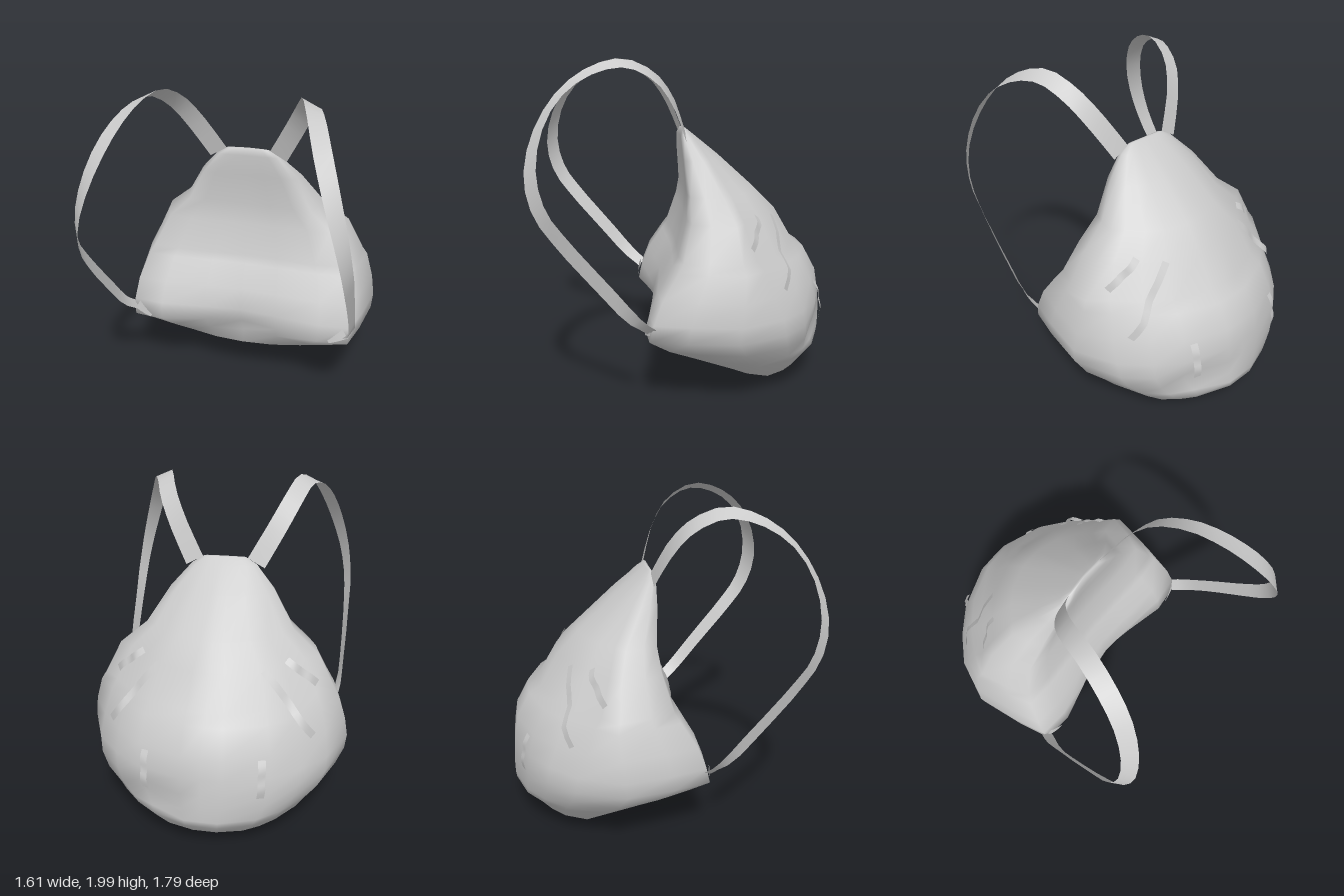
import * as THREE from 'three';

const V = (a) => new THREE.Vector3(...a);
const material = new THREE.MeshStandardMaterial({ color: 0xcccccc, side: THREE.DoubleSide });

// Bag levels from top to bottom: y, half width, front z, back z,
// roundness of the front corners, dip in the front middle, slope of the back shoulders
const LEVELS = [
  [1.57, 0.13, 0.005, -0.02, 0, 0.05, 0], [1.53, 0.2, 0.02, -0.07, 0, 0.05, 0],
  [1.4, 0.32, 0.012, -0.23, 0, 0.04, 0.1], [1.2, 0.45, 0.0, -0.45, 0.1, 0.03, 0.17],
  [1.07, 0.61, 0.02, -0.58, 0.18, 0.03, 0.2], [0.87, 0.71, 0.07, -0.695, 0.08, 0.03, 0.17],
  [0.82, 0.74, 0.1, -0.77, 0.05, 0.03, 0.15], [0.67, 0.785, 0.19, -0.85, 0, 0.04, 0.1],
  [0.54, 0.805, 0.24, -0.87, 0, 0.05, 0.02], [0.44, 0.795, 0.265, -0.88, 0, 0.1, 0],
  [0.35, 0.745, 0.2, -0.885, 0.3, 0.08, 0], [0.26, 0.65, 0.125, -0.885, 0.7, 0, 0],
  [0.22, 0.61, 0.06, -0.88, 0.8, 0, 0], [0.1, 0.47, -0.18, -0.77, 1, 0, 0],
  [0.02, 0.31, -0.38, -0.67, 1, 0, 0], [0, 0.1, -0.5, -0.63, 1, 0, 0],
];

// Half outline: flat back panel with firm corners, rounded pouch (x fraction, depth fraction)
const HALF = [[0, 0], [0.3, 0], [0.65, 0], [0.89, 0.015], [0.95, 0.2], [1, 0.45],
  [0.86, 0.7], [0.68, 0.83], [0.48, 0.93], [0.15, 1], [0, 1]];
// Softer front part of the outline
const OVAL = [[0, 0], [0.3, 0.02], [0.55, 0.08], [0.77, 0.18], [0.92, 0.31], [1, 0.48]];

const mix = THREE.MathUtils.lerp;

function halfOutline(round, dip, slope) {
  return HALF.map(([u, v], i) => {
    if (i >= OVAL.length) return [u, v - slope * u * u];
    const middle = i === 0 ? dip : i === 1 ? dip * 0.6 : 0;
    return [mix(u, OVAL[i][0], round), mix(v, OVAL[i][1], round) + middle];
  });
}

// z of the pouch surface at a given x and y
function pouchZ(x, y) {
  const i = LEVELS.findIndex((l) => l[0] <= y);
  const a = LEVELS[i - 1], b = LEVELS[i], t = (a[0] - y) / (a[0] - b[0]);
  const [, w, front, back, ...shape] = a.map((n, k) => mix(n, b[k], t));
  const half = halfOutline(...shape), u = x / w;
  let k = half.length - 1;
  while (k > 6 && half[k - 1][0] < u) k--;
  const p = half[k], q = half[k - 1];
  return mix(front, back, mix(p[1], q[1], (u - p[0]) / (q[0] - p[0])));
}

function createBag() {
  const positions = [], index = [];
  const n = HALF.length * 2 - 2;
  LEVELS.forEach(([y, w, front, back, ...shape]) => {
    const half = halfOutline(...shape);
    const other = half.slice(1, -1).reverse().map(([u, v]) => [-u, v]);
    for (const [u, v] of [...half, ...other]) {
      const x = u * w, z = mix(front, back, v);
      // soft dent low on one side of the pouch
      const dent = z < -0.5 ? 0.08 * Math.exp(-((x - 0.32) ** 2 + (y - 0.35) ** 2) / 0.01) : 0;
      positions.push(x, y, z + dent);
    }
  });
  for (let i = 0; i < LEVELS.length - 1; i++) {
    for (let j = 0; j < n; j++) {
      const a = i * n + j, b = i * n + (j + 1) % n;
      index.push(a, a + n, b, b, a + n, b + n);
    }
  }
  // top and bottom caps
  const last = (LEVELS.length - 1) * n, top = positions.length / 3;
  positions.push(0, 1.575, -0.008, 0, 0, -0.57);
  for (let j = 0; j < n; j++) {
    const k = (j + 1) % n;
    index.push(top, j, k, top + 1, last + k, last + j);
  }
  return finish('bag', positions, index);
}

function finish(name, positions, index) {
  const g = new THREE.BufferGeometry();
  g.setAttribute('position', new THREE.Float32BufferAttribute(positions, 3));
  g.setIndex(index);
  g.computeVertexNormals();
  const mesh = new THREE.Mesh(g, material);
  mesh.name = name;
  return mesh;
}

// Flat band along a path; the width follows interpolated across-directions and tapers
function ribbon(name, points, across, [startWidth, endWidth], steps, side) {
  const path = new THREE.CatmullRomCurve3(points.map(V));
  const turn = new THREE.CatmullRomCurve3(across.map(V));
  const positions = [], index = [];
  for (let i = 0; i <= steps; i++) {
    const t = i / steps, p = path.getPoint(t), tangent = path.getTangent(t);
    const d = turn.getPoint(t);
    d.addScaledVector(tangent, -d.dot(tangent)).setLength(mix(startWidth, endWidth, t) / 2);
    for (const q of [p.clone().sub(d), p.clone().add(d)]) positions.push(q.x * side, q.y, q.z);
    if (i < steps) {
      const a = i * 2;
      if (side > 0) index.push(a, a + 1, a + 2, a + 1, a + 3, a + 2);
      else index.push(a, a + 2, a + 1, a + 1, a + 2, a + 3);
    }
  }
  return finish(name, positions, index);
}

// Small webbing loop lying on the pouch between two (x, y) points
function webbing(name, from, to, across, side) {
  const points = [0.012, 0.03, 0.02, 0.03, 0.012].map((lift, i) => {
    const x = mix(from[0], to[0], i / 4), y = mix(from[1], to[1], i / 4);
    return [x + lift * 0.4, y + lift * 0.3, pouchZ(x, y) - lift * 0.7];
  });
  return ribbon(name, points, [across, across], [0.045, 0.045], 8, side);
}

export function createModel() {
  const model = new THREE.Group();
  model.name = 'backpack';
  model.add(createBag());

  for (const side of [1, -1]) {
    const s = side > 0 ? 'left' : 'right';
    // shoulder strap, from the top edge over and down to the lower corner
    model.add(ribbon(s + 'ShoulderStrap', [
      [0.19, 1.535, -0.005], [0.305, 1.74, 0.075], [0.385, 1.885, 0.18], [0.445, 1.968, 0.35],
      [0.505, 1.935, 0.53], [0.57, 1.82, 0.7], [0.645, 1.63, 0.82], [0.715, 1.4, 0.865],
      [0.75, 1.2, 0.82], [0.755, 1.03, 0.705], [0.75, 0.77, 0.49], [0.735, 0.58, 0.33], [0.7, 0.5, 0.235],
    ], [
      [0.87, -0.5, 0], [0.87, -0.5, 0], [0.9, -0.45, -0.1], [0.9, -0.3, -0.2],
      [0.8, 0, -0.5], [0.55, 0, -0.8], [0.3, 0, -0.95], [0.2, 0, -0.95], [0.3, 0, -0.95],
    ], [0.12, 0.078], 26, side));
    // stitched tab where the strap meets the lower corner
    model.add(ribbon(s + 'StrapTab', [[0.69, 0.51, 0.245], [0.64, 0.48, 0.262], [0.59, 0.45, 0.268]],
      [[0.4, -0.8, 0], [0.4, -0.8, 0]], [0.07, 0.02], 3, side));
    // webbing loops on the pouch
    model.add(webbing(s + 'UpperLoop', [0.42, 1.09], [0.6, 0.93], [0.54, 0.5, 0.63], side));
    model.add(webbing(s + 'LongLoop', [0.3, 1.07], [0.6, 0.69], [0.6, 0.5, 0.55], side));
    model.add(webbing(s + 'LowerLoop', [0.33, 0.65], [0.33, 0.42], [0.93, 0, 0.35], side));
  }
  return model;
}
